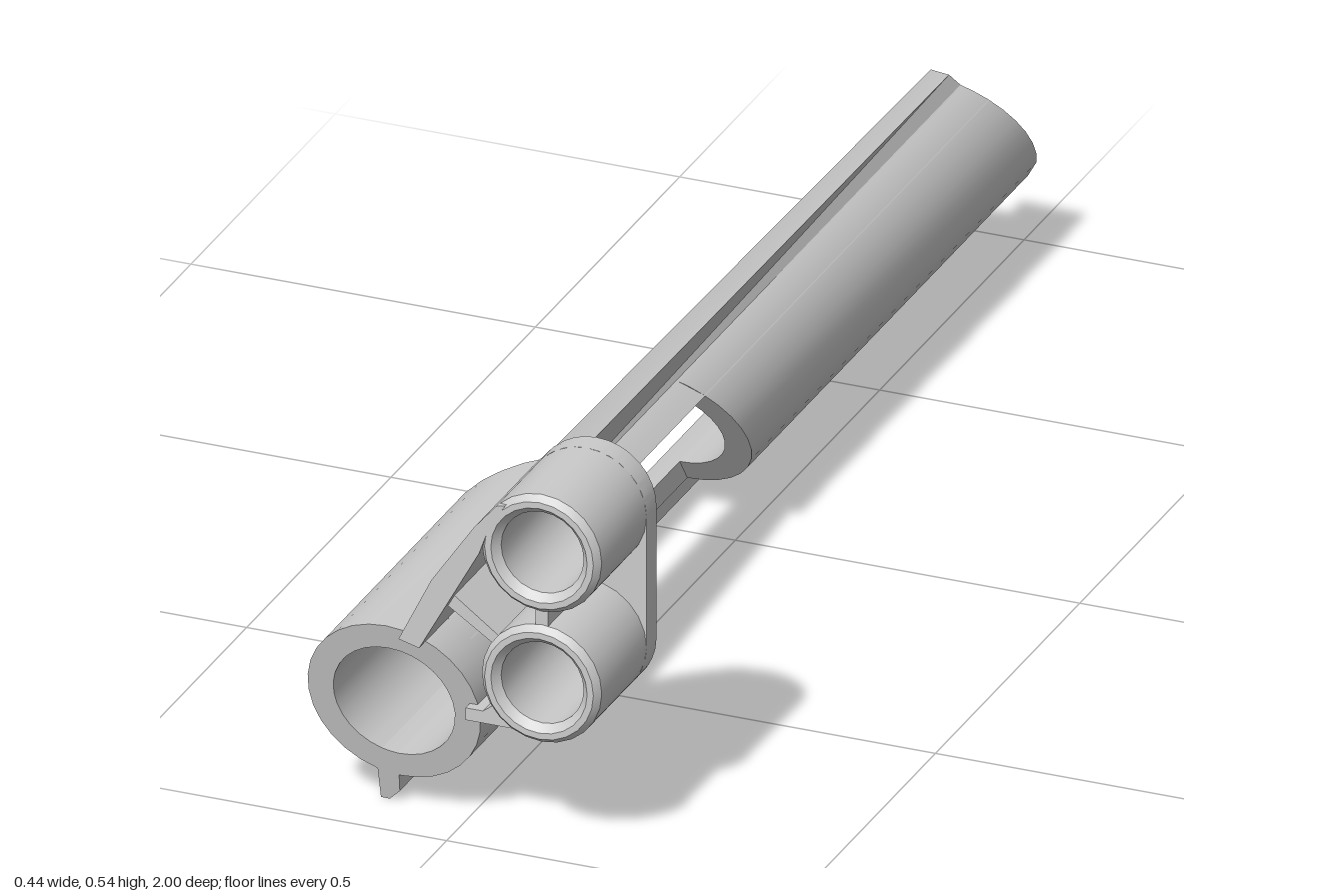
import * as THREE from 'three';
import { toCreasedNormals } from 'three/addons/utils/BufferGeometryUtils.js';

const CX = -0.097, CY = 0.169, R_OUT = 0.125, R_IN = 0.088;
const RAD = Math.PI / 180;

// End cuts of the long tube
const frontEnd = (y) => 0.91 + 0.24 * y;
const backEnd = (y) => -1 + Math.max(0, 0.78 * (y - 0.12), 0.71 * (0.07 - y));

// Curved edge of the sleeve's open side: [angle, z]
const EDGE = [[78, 0.4], [110, 0.46], [150, 0.505], [180, 0.46], [215, 0.36], [253, 0.22]];
function sideEdge(a) {
  for (let i = 1; i < EDGE.length; i++) {
    const [a0, z0] = EDGE[i - 1], [a1, z1] = EDGE[i];
    if (a <= a1) return z0 + (z1 - z0) * (a - a0) / (a1 - a0);
  }
  return 0.22;
}

// Closed solid through a row of convex loops
function loft(sections) {
  const pos = [], n = sections[0].length;
  const tri = (a, b, c) => pos.push(...a, ...b, ...c);
  for (let i = 0; i < sections.length - 1; i++) {
    const s = sections[i], t = sections[i + 1];
    for (let j = 0; j < n; j++) {
      const k = (j + 1) % n;
      tri(s[j], s[k], t[j]);
      tri(s[k], t[k], t[j]);
    }
  }
  const first = sections[0], last = sections[sections.length - 1];
  for (let j = 1; j < n - 1; j++) {
    tri(first[0], first[j + 1], first[j]);
    tri(last[0], last[j], last[j + 1]);
  }
  const g = new THREE.BufferGeometry();
  g.setAttribute('position', new THREE.Float32BufferAttribute(pos, 3));
  return g;
}

// Piece of tube wall between two angles, with front and back edges given by rules
function wall(a0, a1, zFront, zBack) {
  const steps = Math.ceil((a1 - a0) / 12), sections = [];
  for (let i = 0; i <= steps; i++) {
    const a = a0 + (a1 - a0) * i / steps;
    const at = (r, rule) => {
      const y = CY + r * Math.sin(a * RAD);
      return [CX + r * Math.cos(a * RAD), y, rule(y, a)];
    };
    sections.push([at(R_OUT, zFront), at(R_OUT, zBack), at(R_IN, zBack), at(R_IN, zFront)]);
  }
  return loft(sections);
}

// Bar between a front outline (clockwise) and a back outline cut by the end slant
function bar(front, back, zRule) {
  return loft([front.map(([x, y]) => [x, y, zRule(y)]), back.map(([x, y]) => [x, y, backEnd(y)])]);
}

function slab(points, z0, z1, holes = []) {
  const shape = new THREE.Shape(points.map(([x, y]) => new THREE.Vector2(x, y)));
  for (const [x, y, r] of holes) shape.holes.push(new THREE.Path().absarc(x, y, r, 0, Math.PI * 2, true));
  const g = new THREE.ExtrudeGeometry(shape, { depth: z1 - z0, bevelEnabled: false, curveSegments: 16 });
  return g.translate(0, 0, z0);
}

const arc = (x, y, r, a0, a1, n) => Array.from({ length: n + 1 }, (_, i) => {
  const a = (a0 + (a1 - a0) * i / n) * RAD;
  return [x + r * Math.cos(a), y + r * Math.sin(a)];
});

export function createModel() {
  const model = new THREE.Group();
  model.name = 'tubeBracket';
  const material = new THREE.MeshStandardMaterial({ color: 0xcccccc });
  const add = (name, geometry) => {
    const mesh = new THREE.Mesh(toCreasedNormals(geometry, 0.6), material);
    mesh.name = name;
    model.add(mesh);
  };

  // Sleeve at the front and the long open trough behind it
  add('sleeveClosedSide', wall(-91, 78, frontEnd, () => 0.61));
  add('sleeveOpenSide', wall(78, 253, frontEnd, (y, a) => sideEdge(a)));
  add('bottomRail', wall(253, 269, frontEnd, backEnd));
  add('rearTrough', wall(-91, 78, (y) => 0.09 - 0.76 * (0.255 - y), backEnd));

  // Keel along the underside
  const keel = [[-0.133, 0.055], [-0.102, 0.05], [-0.104, 0.017], [-0.12, 0.001], [-0.133, 0.001]];
  add('keel', bar(keel, keel, frontEnd));

  // Top rail above the window, and the fin tapering towards the back
  const rail = [[-0.075, 0.292], [-0.04, 0.28], [-0.006, 0.255], [-0.075, 0.255]];
  add('topRail', bar(rail, rail, () => 0.9));
  add('fin', bar(
    [[-0.075, 0.288], [-0.01, 0.41], [0.018, 0.395], [-0.04, 0.28]],
    [[-0.08, 0.288], [-0.075, 0.305], [-0.05, 0.3], [-0.04, 0.28]], () => 0.81));

  // Two rings with chamfered mouths
  const rings = [[0.134, 0.45], [0.134, 0.256]];
  const profile = [[0.06, 0.8], [0.087, 0.8], [0.087, 0.99], [0.079, 1], [0.07, 1], [0.06, 0.988], [0.06, 0.8]]
    .map(([r, z]) => new THREE.Vector2(r, z));
  rings.forEach(([x, y], i) => add(i ? 'lowerRing' : 'upperRing',
    new THREE.LatheGeometry(profile, 24).rotateX(Math.PI / 2).translate(x, y, 0)));

  // Back plate joining the rings and the sleeve
  const [[ux, uy], [lx, ly]] = rings;
  add('bracketPlate', slab([
    [0.02, 0.17],
    ...arc(lx, ly, 0.087, -90, 0, 8),
    ...arc(ux, uy, 0.087, 0, 135, 12),
    [0.04, 0.475], [-0.022, 0.385], [-0.07, 0.288],
    ...arc(CX, CY, 0.11, 72, 8, 6),
  ], 0.8, 0.835, rings.map(([x, y]) => [x, y, 0.061])));

  // Raised walls and ribs in front of the plate
  add('bracketArm', slab([
    [-0.04, 0.28], [0.047, 0.437], [0.062, 0.48], [0.085, 0.515], [0.072, 0.512],
    [0.04, 0.475], [-0.022, 0.385], [-0.07, 0.288],
  ], 0.8, 1));
  add('bracketFoot', slab([[0.015, 0.17], [0.134, 0.17], [0.1, 0.188], [0.06, 0.203], [0.04, 0.188], [0.015, 0.188]], 0.8, 0.97));
  add('diagonalRib', slab([[-0.012, 0.344], [0.06, 0.296], [0.068, 0.309], [-0.002, 0.361]], 0.8, 0.98));
  add('ringBridge', slab([[0.125, 0.335], [0.143, 0.335], [0.143, 0.371], [0.125, 0.371]], 0.8, 0.99));

  return model;
}
